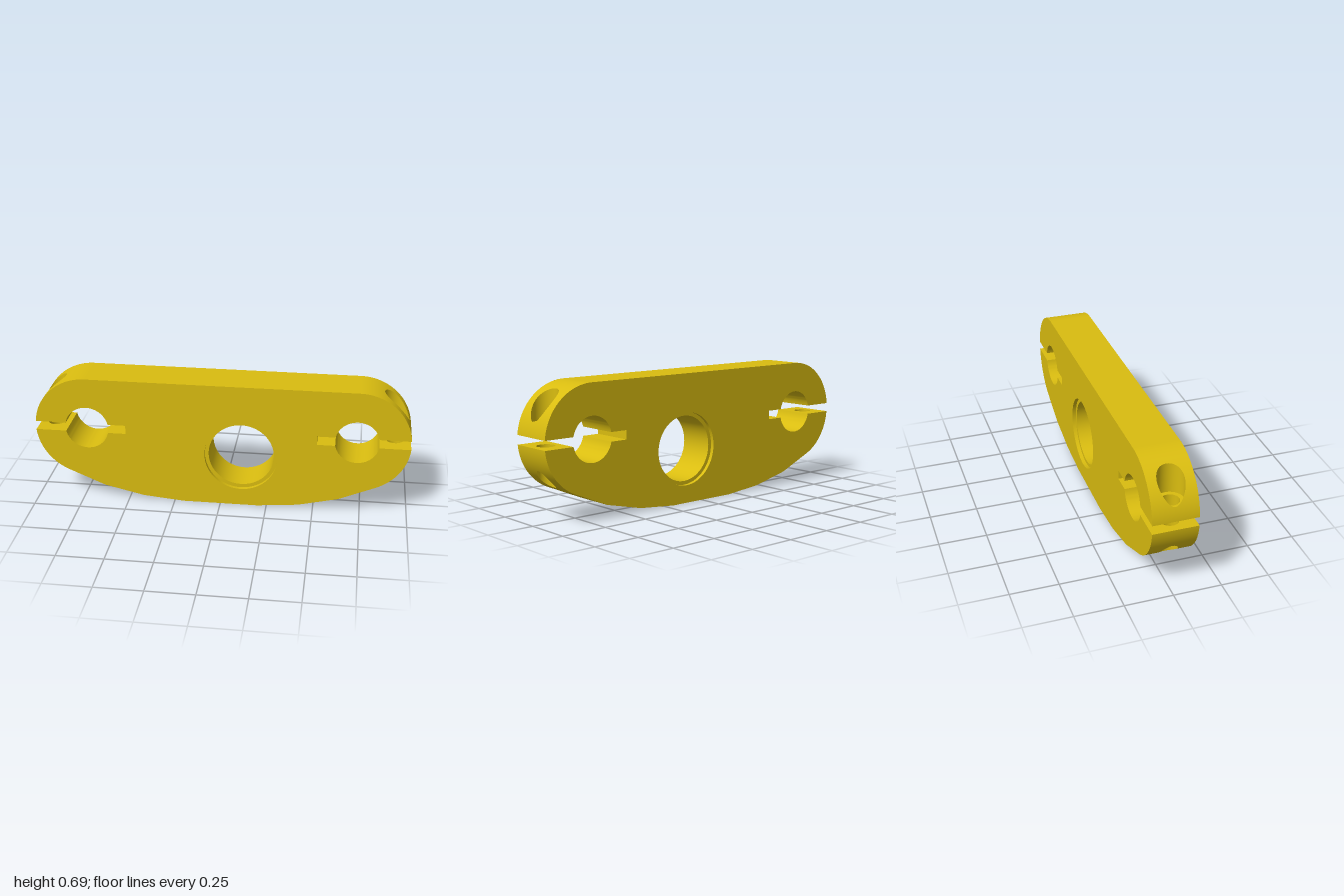
import * as THREE from 'three';
import { toCreasedNormals } from 'three/addons/utils/BufferGeometryUtils.js';
import { ParametricGeometry } from 'three/addons/geometries/ParametricGeometry.js';

const H = 0.1175;                        // half thickness of the plate
const CX = 0.72, CY = 0.41, R = 0.28;    // rounded clamp ends
const FORK = 0.117, SLOT = 0.024;        // clamp bore radius, half slot width
const SX = 0.915, SCREW = 0.046, HEAD = 0.068, SEAT = 0.5; // clamp screw holes
const BORE = 0.175, LIP = 0.195, LIP_DEPTH = 0.02, BX = 0.11, BY = 0.29; // stem bore
const RIM = Math.asin(SLOT / R), LOW = 1.165; // angles bounding the end arcs

function arc(radius, from, to, n) {
  return Array.from({ length: n + 1 }, (_, i) => {
    const a = from + (to - from) * i / n;
    return new THREE.Vector2(CX + radius * Math.cos(a), CY + radius * Math.sin(a));
  });
}

// Wall through a list of points, facing right of the direction of travel
function ribbon(points, crease) {
  const pos = [];
  for (let i = 0; i + 1 < points.length; i++) {
    const p = points[i], q = points[i + 1];
    pos.push(p.x, p.y, -H, q.x, q.y, -H, q.x, q.y, H);
    pos.push(p.x, p.y, -H, q.x, q.y, H, p.x, p.y, H);
  }
  const g = new THREE.BufferGeometry();
  g.setAttribute('position', new THREE.Float32BufferAttribute(pos, 3));
  return toCreasedNormals(g, crease);
}

// Height of the end arc above (s = 1) or below (s = -1) a given x
const edgeY = (x, s) => CY + s * Math.sqrt(Math.max(0, R * R - (x - CX) ** 2));

// Curved end wall with a round vertical hole through it
function endWall(s, radius, last) {
  const mid = (RIM + last) / 2, half = (last - RIM) / 2;
  return new ParametricGeometry((u, v, out) => {
    const a = -s * 2 * Math.PI * u, c = Math.cos(a), d = Math.sin(a);
    const m = Math.max(Math.abs(c), Math.abs(d));
    const hole = Math.acos((SX - radius * c - CX) / R);
    const t = THREE.MathUtils.lerp(hole, mid + half * c / m, v);
    const z = THREE.MathUtils.lerp(radius * d, H * d / m, v);
    out.set(CX + R * Math.cos(t), CY + s * R * Math.sin(t), z);
  }, 96, 10);
}

// Inside wall of a vertical hole between two heights given as functions of x
function holeWall(radius, bottom, top) {
  return new ParametricGeometry((u, v, out) => {
    const a = 2 * Math.PI * u, x = SX + radius * Math.cos(a);
    out.set(x, THREE.MathUtils.lerp(bottom(x), top(x), v), radius * Math.sin(a));
  }, 96, 1);
}

// Flat slot face with the screw hole in it
function slotFace(s) {
  const x0 = CX + Math.sqrt(FORK ** 2 - SLOT ** 2), x1 = CX + R * Math.cos(RIM);
  const shape = new THREE.Shape([[x0, -H], [x1, -H], [x1, H], [x0, H]].map(p => new THREE.Vector2(...p)));
  shape.holes.push(new THREE.Path().absarc(SX, 0, SCREW, 0, Math.PI * 2, true));
  return new THREE.ShapeGeometry(shape, 32).rotateX(s * Math.PI / 2).translate(0, CY + s * SLOT, 0);
}

export function createModel() {
  const model = new THREE.Group();
  model.name = 'clampPlate';
  const yellow = new THREE.MeshStandardMaterial({ color: 0xdabd10, side: THREE.DoubleSide });
  yellow.name = 'yellow';
  const add = (parent, name, geometry) => {
    const mesh = new THREE.Mesh(geometry, yellow);
    mesh.name = name;
    parent.add(mesh);
    return mesh;
  };

  // Outline of one half, running counterclockwise
  const base = [[0.2, 0], [0.42, 0.02], [0.635, 0.07]].map(p => new THREE.Vector2(...p));
  const lowerArc = arc(R, -LOW, -RIM, 32), upperArc = arc(R, RIM, Math.PI / 2, 32);
  const k = Math.asin(SLOT / FORK);
  const fork = [
    ...arc(FORK, -k, k - Math.PI, 32),
    new THREE.Vector2(0.51, CY - SLOT), new THREE.Vector2(0.51, CY + SLOT),
    ...arc(FORK, Math.PI - k, k, 32),
  ];
  const half = [...base, ...lowerArc, ...fork, ...upperArc];
  const mirror = list => list.map(p => new THREE.Vector2(-p.x, p.y)).reverse();
  const outline = [...half, ...mirror(half)];

  // Front and back faces
  const face = holeX => {
    const shape = new THREE.Shape(outline);
    shape.holes.push(new THREE.Path().absarc(holeX, BY, LIP, 0, Math.PI * 2, true));
    return new THREE.ShapeGeometry(shape, 32).translate(0, 0, H);
  };
  add(model, 'frontFace', face(BX));
  add(model, 'backFace', face(-BX).rotateY(Math.PI));

  // Top and faceted underside
  add(model, 'topWall', ribbon([new THREE.Vector2(CX, CY + R), new THREE.Vector2(-CX, CY + R)], 0.1));
  const under = [...base, lowerArc[0]];
  add(model, 'undersideWall', ribbon([...mirror(under), ...under], 0.1));

  // Stem bore with a shallow recess on both faces
  const h = H - LIP_DEPTH;
  const profile = [[LIP, H], [LIP, h], [BORE, h], [BORE, -h], [LIP, -h], [LIP, -H]];
  const bore = new THREE.LatheGeometry(profile.map(p => new THREE.Vector2(...p)), 64);
  add(model, 'stemBore', toCreasedNormals(bore.rotateX(Math.PI / 2).translate(BX, BY, 0), 0.6));

  // Split clamp at each end
  for (const name of ['leftClamp', 'rightClamp']) {
    const clamp = new THREE.Group();
    clamp.name = name;
    if (name === 'rightClamp') clamp.rotation.y = Math.PI;
    add(clamp, 'forkBore', ribbon(fork, 0.5));
    add(clamp, 'upperEndWall', endWall(1, HEAD, Math.PI / 2));
    add(clamp, 'lowerEndWall', endWall(-1, SCREW, LOW));
    add(clamp, 'upperSlotFace', slotFace(1));
    add(clamp, 'lowerSlotFace', slotFace(-1));
    add(clamp, 'screwHeadRecess', holeWall(HEAD, () => SEAT, x => edgeY(x, 1)));
    add(clamp, 'screwSeat', new THREE.RingGeometry(SCREW, HEAD, 64).rotateX(-Math.PI / 2).translate(SX, SEAT, 0));
    add(clamp, 'upperScrewHole', holeWall(SCREW, () => CY + SLOT, () => SEAT));
    add(clamp, 'lowerScrewHole', holeWall(SCREW, x => edgeY(x, -1), () => CY - SLOT));
    model.add(clamp);
  }
  return model;
}
